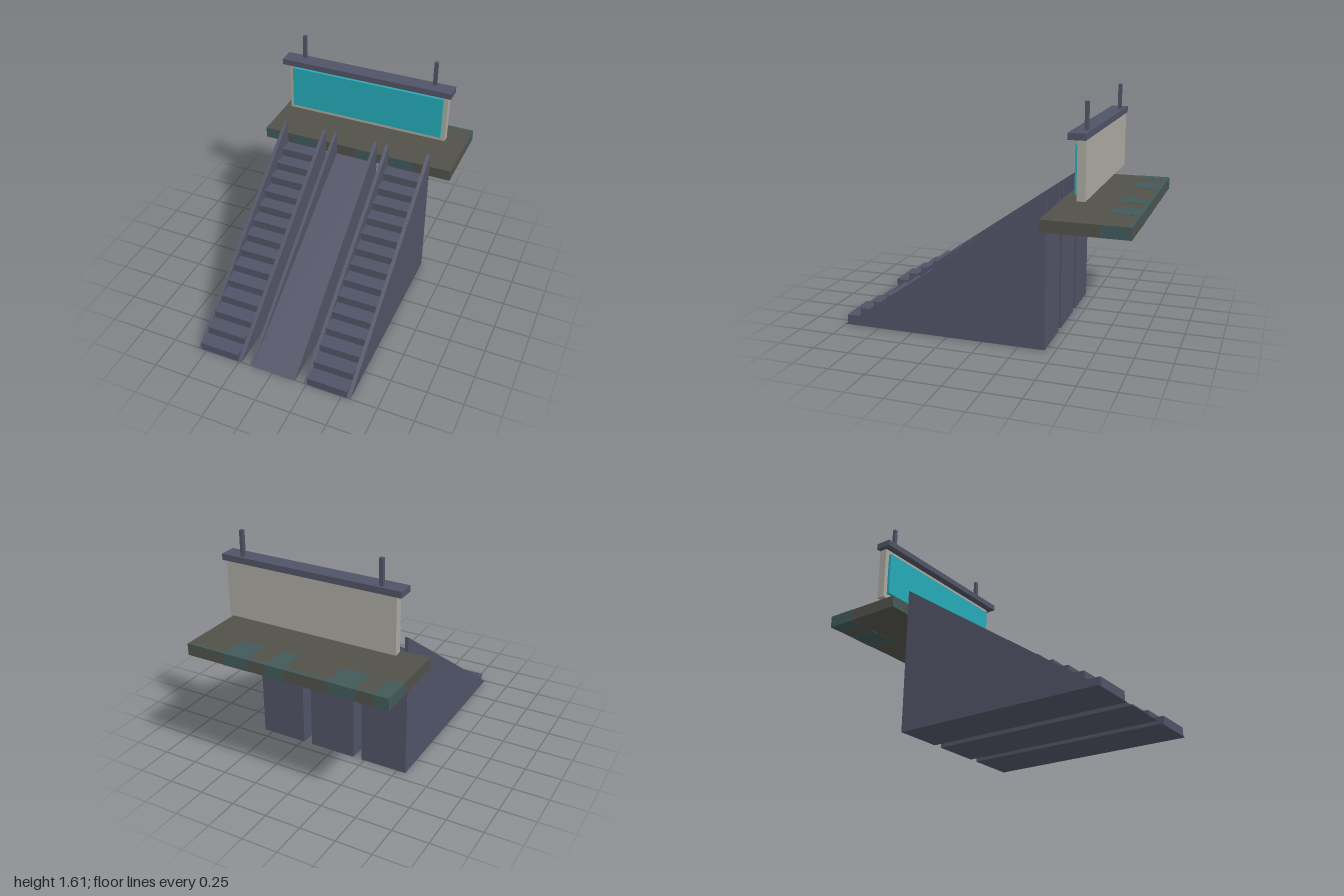
import * as THREE from 'three';

const mat = (name, color) => {
  const m = new THREE.MeshStandardMaterial({ color });
  m.name = name;
  return m;
};

export function createModel() {
  const slate = mat('slate', 0x505366);
  const stone = mat('dark stone', 0x51514a);
  const mossy = mat('teal stain', 0x41595a);
  const grey = mat('warm grey', 0xaaa89f);
  const teal = mat('teal', 0x24aab7);
  const model = new THREE.Group();

  // Box given by its lower and upper limits on each axis
  const box = (name, material, [x0, x1], [y0, y1], [z0, z1], parent = model) => {
    const mesh = new THREE.Mesh(new THREE.BoxGeometry(x1 - x0, y1 - y0, z1 - z0), material);
    mesh.position.set((x0 + x1) / 2, (y0 + y1) / 2, (z0 + z1) / 2);
    mesh.name = name;
    parent.add(mesh);
  };
  // Side profile of [z, y] points, extruded from x0 to x1
  const profile = (name, points, x0, x1, parent) => {
    const shape = new THREE.Shape(points.map(([z, y]) => new THREE.Vector2(z, y)));
    const geo = new THREE.ExtrudeGeometry(shape, { depth: x1 - x0, bevelEnabled: false });
    geo.rotateY(-Math.PI / 2).translate(x1, 0, 0);
    const mesh = new THREE.Mesh(geo, slate);
    mesh.name = name;
    parent.add(mesh);
  };

  const front = 1, back = -0.43, deckBottom = 0.83, deckTop = 0.91;

  // Sloping side walls and the profiles between them
  const wall = [[front, 0], [back, 0], [back, 1.01]];
  const ramp = [[front, 0], [back, 0], [back, deckBottom]];
  const steps = [[back, 0], [front, 0]];
  const count = 14;
  for (let i = 0; i < count; i++) {
    const y = (deckBottom * (i + 1)) / count;
    steps.push([front + ((back - front) * i) / count, y]);
    steps.push([front + ((back - front) * (i + 1)) / count, y]);
  }
  const flight = (name, x0, x1, thick, inner) => {
    const group = new THREE.Group();
    group.name = name;
    profile('rightSideWall', wall, x0, x0 + thick, group);
    profile('leftSideWall', wall, x1 - thick, x1, group);
    profile('walkway', inner, x0 + thick, x1 - thick, group);
    model.add(group);
  };
  flight('rightStairs', -0.563, -0.23, 0.026, steps);
  flight('leftStairs', 0.23, 0.563, 0.026, steps);
  flight('centreRamp', -0.167, 0.167, 0.023, ramp);

  // Platform behind the stairs
  box('platform', stone, [-0.716, 0.716], [deckBottom, deckTop], [-0.998, back]);

  // Faint stains along the rear edge, on the top, underside and front edge
  const stains = new THREE.Group();
  stains.name = 'platformStains';
  model.add(stains);
  const t = 0.002;
  for (const [x0, x1] of [[-0.716, -0.62], [-0.5, -0.31], [0, 0.13], [0.26, 0.44]]) {
    box('topStain', mossy, [x0, x1], [deckTop, deckTop + t], [-0.998, -0.8], stains);
    box('bottomStain', mossy, [x0, x1], [deckBottom - t, deckBottom], [-0.998, -0.8], stains);
    box('frontStain', mossy, [x0, x1], [deckBottom, deckTop], [back, back + t], stains);
    box('backStain', mossy, [x0, x1], [deckBottom, deckTop], [-1, -0.998], stains);
  }
  box('rearEdgeStain', mossy, [-0.716, 0.716], [deckTop, deckTop + t / 2], [-0.998, -0.975], stains);
  for (const s of [-1, 1]) {
    const xs = s > 0 ? [0.716, 0.716 + t] : [-0.716 - t, -0.716];
    box('sideStain', mossy, xs, [deckBottom, deckTop], [-0.998, -0.8], stains);
  }

  // Display board with its screen, cap and two posts
  box('displayBoard', grey, [-0.602, 0.602], [1.012, 1.39], [-0.686, -0.63]);
  box('screen', teal, [-0.571, 0.571], [1.045, 1.355], [-0.63, -0.61]);
  box('boardCap', slate, [-0.634, 0.634], [1.39, 1.432], [-0.69, -0.576]);
  for (const x of [-0.491, 0.491]) {
    box('post', slate, [x - 0.0125, x + 0.0125], [1.432, 1.606], [-0.672, -0.648]);
  }
  return model;
}
